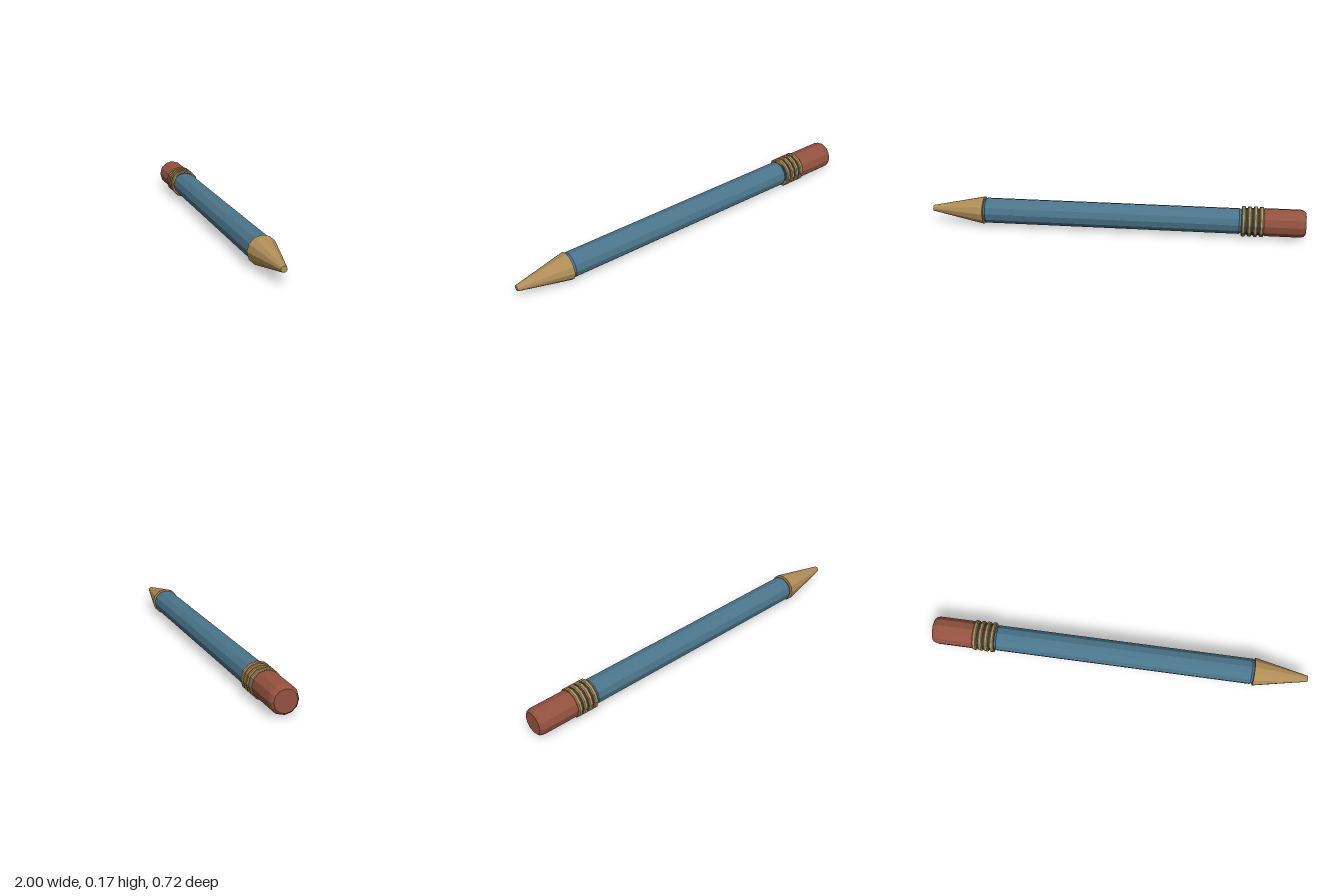
import * as THREE from 'three';

const paint = (name, color) => {
  const m = new THREE.MeshStandardMaterial({ color });
  m.name = name;
  return m;
};

export function createModel() {
  const blue = paint('blue barrel', 0x4b758c);
  const brass = paint('brass', 0xb08d57);
  const rust = paint('rust rubber', 0x945240);
  const dark = paint('dark groove', 0x34484f);

  const pencil = new THREE.Group();
  pencil.name = 'pencil';

  // Twelve-sided faceted solid along x; profile is [position, radius] pairs
  function turned(name, material, profile) {
    const pts = [[profile[0][0], 0], ...profile, [profile.at(-1)[0], 0]]
      .map(([t, r]) => new THREE.Vector2(r, t));
    const geo = new THREE.LatheGeometry(pts, 12).toNonIndexed();
    geo.computeVertexNormals();
    geo.rotateZ(-Math.PI / 2);
    const mesh = new THREE.Mesh(geo, material);
    mesh.name = name;
    pencil.add(mesh);
  }

  // Eraser with rounded end
  turned('eraser', rust, [[-1.035, 0.061], [-1.026, 0.071], [-1.006, 0.077], [-0.815, 0.077], [-0.807, 0.072]]);

  // Ferrule: four raised bands over a darker core
  turned('ferruleCore', dark, [[-0.806, 0.074], [-0.688, 0.074]]);
  for (let i = 0; i < 4; i++) {
    const a = -0.808 + i * 0.0325, b = a + 0.0225;
    turned('ferruleBand' + (i + 1), brass, [[a, 0.079], [a + 0.005, 0.084], [b - 0.005, 0.084], [b, 0.079]]);
  }

  // Barrel with bevelled ends
  turned('barrel', blue, [[-0.688, 0.062], [-0.676, 0.071], [0.733, 0.071], [0.745, 0.062]]);

  // Blunt conical tip
  turned('tip', brass, [[0.746, 0.078], [1.036, 0.018], [1.043, 0.016]]);

  // Lay the pencil diagonally on the ground
  pencil.rotation.y = -THREE.MathUtils.degToRad(18);
  pencil.position.set(0.002, 0.084, 0.021);
  const model = new THREE.Group();
  model.name = 'model';
  model.add(pencil);
  return model;
}
